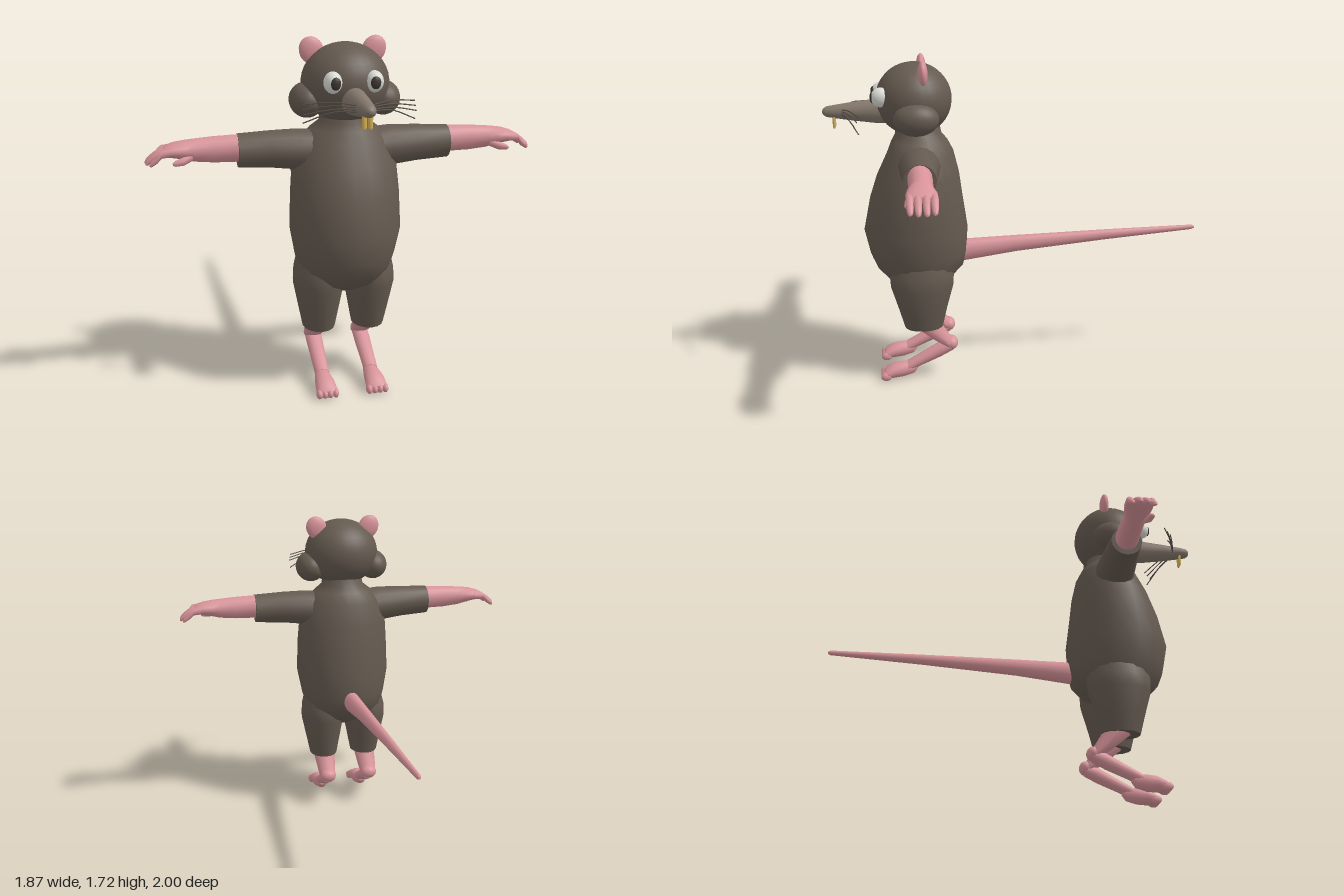
import * as THREE from 'three';

const mat = (name, color) => {
  const m = new THREE.MeshStandardMaterial({ color });
  m.name = name;
  return m;
};

// Skin over elliptical rings [x, y, z, ru, rv], listed in ascending order along the axis.
// Radii: axis x -> (y, z), axis y -> (z, x), axis z -> (x, y).
function loft(axis, rings, n = 16) {
  const w = 'xyz'.indexOf(axis), u = (w + 1) % 3, v = (w + 2) % 3;
  const pos = [], idx = [];
  const addRing = (r) => {
    for (let j = 0; j < n; j++) {
      const a = (j / n) * Math.PI * 2, p = [r[0], r[1], r[2]];
      p[u] += r[3] * Math.cos(a);
      p[v] += r[4] * Math.sin(a);
      pos.push(...p);
    }
  };
  rings.forEach(addRing);
  for (let i = 0; i < rings.length - 1; i++)
    for (let j = 0; j < n; j++) {
      const a = i * n + j, b = i * n + (j + 1) % n;
      idx.push(a, b, a + n, b, b + n, a + n);
    }
  // flat end caps with their own vertices
  [rings[0], rings[rings.length - 1]].forEach((r, end) => {
    const s = pos.length / 3;
    addRing(r);
    pos.push(r[0], r[1], r[2]);
    for (let j = 0; j < n; j++) {
      const a = s + j, b = s + (j + 1) % n;
      if (end) idx.push(a, b, s + n); else idx.push(b, a, s + n);
    }
  });
  const g = new THREE.BufferGeometry();
  g.setAttribute('position', new THREE.Float32BufferAttribute(pos, 3));
  g.setIndex(idx);
  g.computeVertexNormals();
  return g;
}

export function createModel() {
  const root = new THREE.Group();
  root.name = 'ratFigure';
  const fur = mat('darkFur', 0x655a50);
  const snoutFur = mat('snoutFur', 0x85786c);
  const pink = mat('pinkSkin', 0xd8949a);
  const white = mat('eyeWhite', 0xdcdcd6);
  const dark = mat('pupilDark', 0x3c3632);
  const whisker = mat('whiskerGrey', 0x5a524a);
  const yellow = mat('toothYellow', 0xd8b45a);

  const add = (name, geo, material) => {
    const m = new THREE.Mesh(geo, material);
    m.name = name;
    root.add(m);
    return m;
  };
  const ball = (name, c, r, material, seg = 24) => {
    const m = add(name, new THREE.SphereGeometry(1, seg, Math.ceil(seg * 0.67)), material);
    m.position.set(...c);
    m.scale.set(...r);
    return m;
  };

  // Torso
  add('torso', loft('y', [
    [0, 0.49, 0.525, 0.06, 0.06], [0, 0.55, 0.53, 0.17, 0.2], [0, 0.62, 0.528, 0.236, 0.228],
    [0, 0.69, 0.535, 0.258, 0.246], [0, 0.82, 0.545, 0.275, 0.27], [0, 1.0, 0.538, 0.243, 0.264],
    [0, 1.12, 0.525, 0.215, 0.255], [0, 1.24, 0.51, 0.172, 0.22], [0, 1.3, 0.513, 0.145, 0.165],
    [0, 1.335, 0.518, 0.12, 0.12], [0, 1.4, 0.52, 0.11, 0.11],
  ], 20), fur);

  // Tail
  add('tail', loft('z', [
    [0, 0.755, -1.0, 0.006, 0.007], [0, 0.755, -0.985, 0.012, 0.013], [0, 0.733, -0.5, 0.024, 0.028],
    [0, 0.705, 0, 0.035, 0.045], [0, 0.682, 0.28, 0.044, 0.06], [0, 0.68, 0.36, 0.044, 0.06],
  ], 14), pink);

  // Head and snout
  ball('head', [0, 1.515, 0.535], [0.208, 0.188, 0.195], fur, 28);
  add('snout', loft('z', [
    [0, 1.455, 0.65, 0.06, 0.067], [0, 1.455, 0.73, 0.056, 0.063], [0, 1.456, 0.85, 0.046, 0.048],
    [0, 1.457, 0.94, 0.036, 0.034], [0, 1.457, 0.98, 0.029, 0.027], [0, 1.457, 0.995, 0.018, 0.016],
    [0, 1.457, 1.0, 0.006, 0.006],
  ]), snoutFur);

  for (const s of [1, -1]) {
    const side = s > 0 ? 'left' : 'right';
    // mirrors a list of rings; reversed along x so the skin keeps facing out
    const flip = (rings) => rings.map((r) => [r[0] * s, ...r.slice(1)]);
    const alongX = (rings) => (s > 0 ? flip(rings) : flip(rings).reverse());

    // Face
    ball(side + 'Cheek', [s * 0.183, 1.438, 0.53], [0.082, 0.083, 0.115], fur);
    const ear = ball(side + 'Ear', [s * 0.15, 1.66, 0.49], [0.058, 0.067, 0.025], pink, 18);
    ear.rotation.z = -s * 0.45;
    ball(side + 'Eye', [s * 0.096, 1.54, 0.7], [0.042, 0.05, 0.052], white);
    ball(side + 'Pupil', [s * 0.092, 1.54, 0.743], [0.024, 0.029, 0.013], dark, 16);
    add(side + 'Tooth', loft('y', [
      [s * 0.014, 1.372, 0.942, 0.004, 0.007], [s * 0.014, 1.38, 0.942, 0.008, 0.011],
      [s * 0.014, 1.435, 0.942, 0.008, 0.011],
    ], 10), yellow);

    // Whiskers fan out and droop
    [[1.465, 0.8], [1.445, 0.815], [1.425, 0.83], [1.385, 0.81]].forEach(([y, z], i) => {
      const curve = new THREE.CatmullRomCurve3([
        new THREE.Vector3(s * 0.02, 1.468 - i * 0.008, 0.905),
        new THREE.Vector3(s * 0.13, 1.48 - i * 0.014, (0.905 + z) / 2 + 0.006),
        new THREE.Vector3(s * 0.255, y, z),
      ]);
      add(side + 'Whisker' + (i + 1), new THREE.TubeGeometry(curve, 8, 0.003, 5), whisker);
    });

    // Arm
    add(side + 'Sleeve', loft('x', alongX([
      [0.1, 1.19, 0.52, 0.1, 0.11], [0.22, 1.203, 0.522, 0.098, 0.105],
      [0.35, 1.21, 0.525, 0.089, 0.092], [0.51, 1.211, 0.527, 0.08, 0.08],
    ])), fur);
    add(side + 'Forearm', loft('x', alongX([
      [0.48, 1.223, 0.527, 0.066, 0.06], [0.62, 1.222, 0.527, 0.062, 0.058],
      [0.71, 1.223, 0.528, 0.054, 0.054], [0.75, 1.226, 0.529, 0.046, 0.064],
      [0.8, 1.228, 0.529, 0.036, 0.071], [0.84, 1.225, 0.529, 0.026, 0.068],
      [0.86, 1.222, 0.529, 0.012, 0.055],
    ])), pink);
    [-0.055, -0.019, 0.018, 0.053].forEach((dz, i) => {
      const z = 0.528 + dz, tip = [0.92, 0.935, 0.932, 0.915][i];
      add(side + 'Finger' + (i + 1), loft('x', alongX([
        [0.8, 1.228, z, 0.02, 0.016], [0.86, 1.222, z, 0.02, 0.018],
        [tip - 0.035, 1.198, z, 0.018, 0.017], [tip - 0.008, 1.178, z, 0.014, 0.013],
        [tip, 1.172, z, 0.005, 0.005],
      ]), 10), pink);
    });
    add(side + 'Thumb', loft('x', alongX([
      [0.72, 1.2, 0.565, 0.018, 0.016], [0.76, 1.186, 0.585, 0.02, 0.018],
      [0.8, 1.178, 0.592, 0.014, 0.014], [0.812, 1.176, 0.593, 0.005, 0.005],
    ]), 10), pink);

    // Leg
    add(side + 'Trouser', loft('y', flip([
      [0.125, 0.298, 0.523, 0.102, 0.08], [0.126, 0.4, 0.525, 0.128, 0.1],
      [0.127, 0.53, 0.526, 0.165, 0.125], [0.123, 0.6, 0.526, 0.17, 0.125],
      [0.11, 0.68, 0.526, 0.15, 0.12],
    ])), fur);
    add(side + 'Thigh', loft('y', flip([
      [0.125, 0.18, 0.385, 0.03, 0.044], [0.125, 0.22, 0.425, 0.05, 0.053],
      [0.125, 0.3, 0.5, 0.075, 0.063], [0.125, 0.36, 0.52, 0.075, 0.063],
    ]), 12), pink);
    ball(side + 'Hock', [s * 0.125, 0.192, 0.378], [0.047, 0.038, 0.036], pink, 14);
    add(side + 'Shin', loft('z', flip([
      [0.125, 0.185, 0.37, 0.042, 0.034], [0.125, 0.155, 0.44, 0.042, 0.042],
      [0.125, 0.1, 0.55, 0.038, 0.034], [0.125, 0.065, 0.62, 0.036, 0.03],
    ]), 12), pink);
    add(side + 'Foot', loft('z', flip([
      [0.125, 0.065, 0.565, 0.015, 0.015], [0.125, 0.057, 0.585, 0.032, 0.034],
      [0.125, 0.05, 0.64, 0.043, 0.043], [0.125, 0.045, 0.69, 0.05, 0.041],
      [0.125, 0.032, 0.735, 0.053, 0.03], [0.125, 0.024, 0.75, 0.045, 0.018],
    ]), 14), pink);
    [-0.04, -0.013, 0.014, 0.04].forEach((dx, i) =>
      ball(side + 'Toe' + (i + 1), [s * (0.125 + dx), 0.024, 0.737], [0.016, 0.023, 0.03], pink, 10));
  }
  return root;
}
